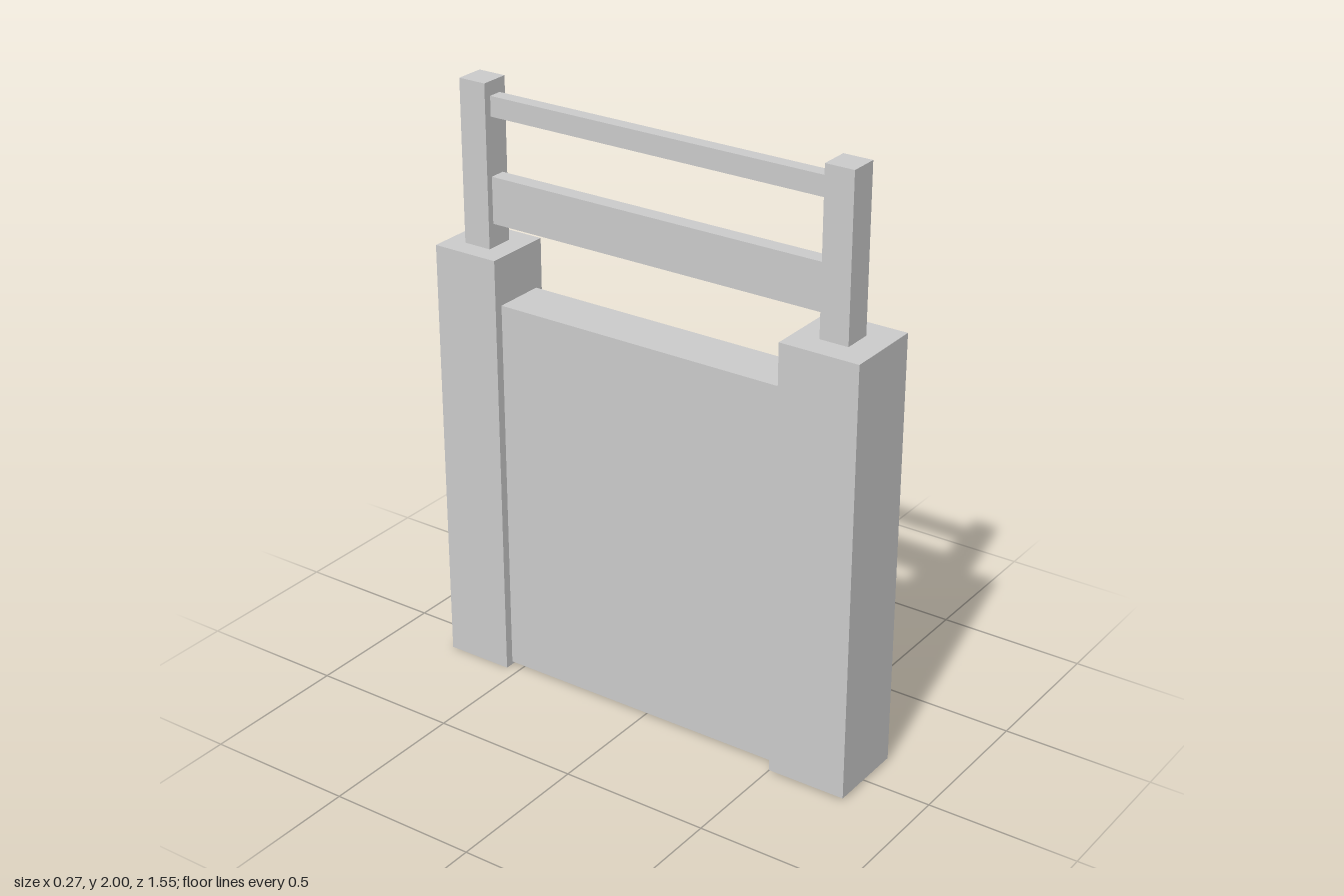
import * as THREE from 'three';

export function createModel() {
  const group = new THREE.Group();
  const material = new THREE.MeshStandardMaterial({ color: 0xcccccc, flatShading: true });

  // Box centred on x, given its half width and its y and z ranges
  function addBox(name, halfWidth, [y0, y1], [z0, z1]) {
    const geometry = new THREE.BoxGeometry(halfWidth * 2, y1 - y0, z1 - z0);
    const mesh = new THREE.Mesh(geometry, material);
    mesh.name = name;
    mesh.position.set(0, (y0 + y1) / 2, (z0 + z1) / 2);
    group.add(mesh);
  }

  // Wall panel between two square pillars
  addBox('wallPanel', 0.088, [0.01, 1.303], [-0.543, 0.507]);
  addBox('frontPillar', 0.135, [0.01, 1.467], [0.507, 0.775]);
  addBox('backPillar', 0.117, [0, 1.462], [-0.775, -0.543]);

  // Slim posts standing on the pillars
  addBox('frontPost', 0.049, [1.467, 2], [0.59, 0.687]);
  addBox('backPost', 0.049, [1.462, 2], [-0.712, -0.615]);

  // Horizontal rails spanning the posts
  addBox('topRail', 0.023, [1.888, 1.954], [-0.615, 0.59]);
  addBox('lowerRail', 0.027, [1.54, 1.695], [-0.615, 0.59]);

  return group;
}
